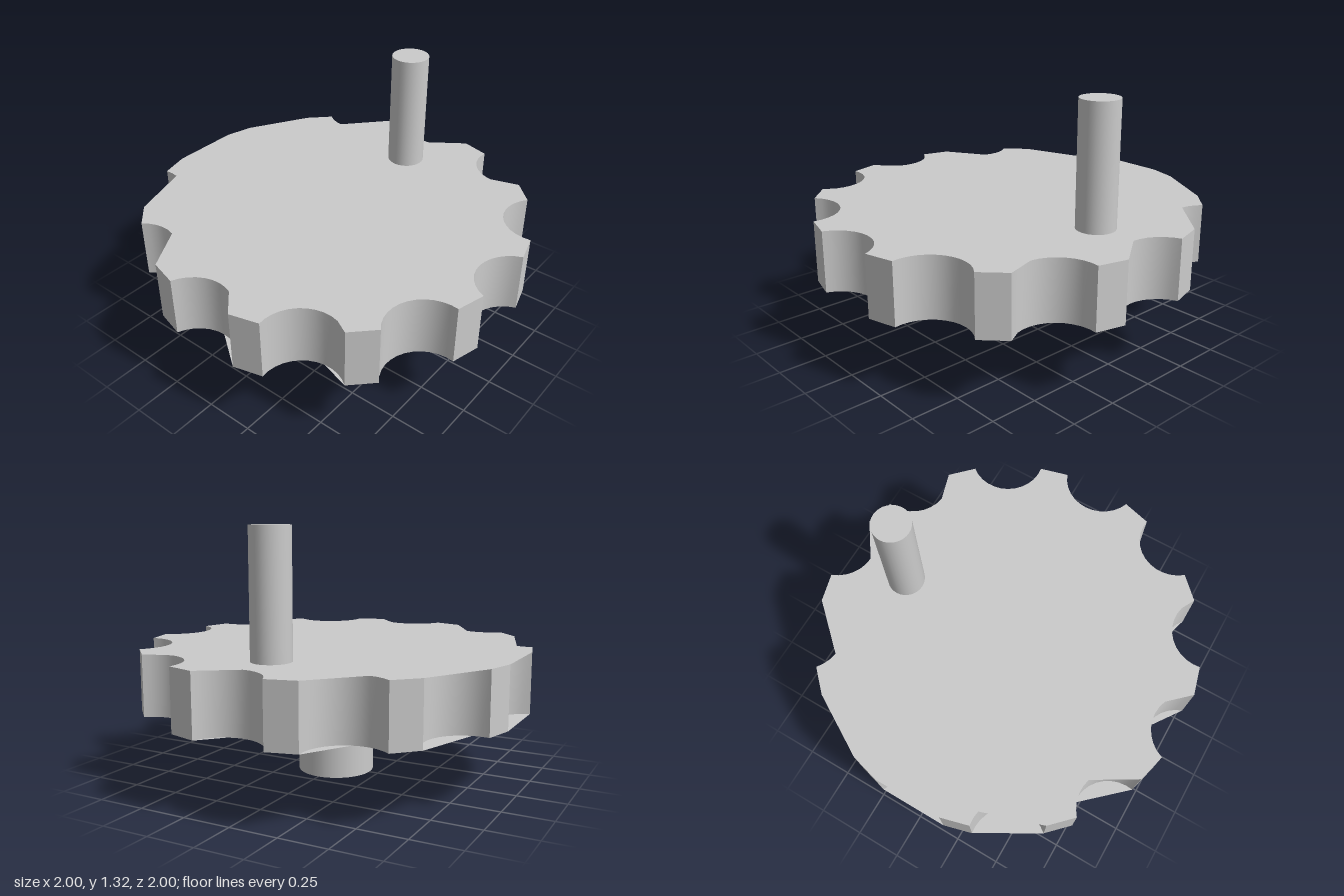
import * as THREE from 'three';
import { toCreasedNormals } from 'three/addons/utils/BufferGeometryUtils.js';

const NOTCHES = 12, STEPS = 12;
const NOTCH_DIST = 1.07, NOTCH_R = 0.2, HALF = THREE.MathUtils.degToRad(70);
const Y0 = 0.37, Y1 = 0.685;

const grey = new THREE.MeshStandardMaterial({ color: 0xcccccc });
const greyBoth = new THREE.MeshStandardMaterial({ color: 0xcccccc, side: THREE.DoubleSide });

// Point t (0..1) along the scallop k; angles run from the front (+z) towards +x
function scallopPoint(k, t) {
  const a = (k * Math.PI * 2) / NOTCHES;
  const b = a + Math.PI + HALF - 2 * HALF * t;
  return new THREE.Vector2(
    Math.sin(a) * NOTCH_DIST + Math.sin(b) * NOTCH_R,
    Math.cos(a) * NOTCH_DIST + Math.cos(b) * NOTCH_R);
}

// Closed (x, z) outline; keep(k, t) can drop points so an edge cuts straight over a scallop
function outline(keep = () => true) {
  const pts = [];
  for (let k = 0; k < NOTCHES; k++)
    for (let i = 0; i <= STEPS; i++)
      if (i === 0 || i === STEPS || keep(k, i / STEPS)) pts.push(scallopPoint(k, i / STEPS));
  return pts;
}

// Caps bridge the scallops more and more towards the back
function capGeometry(up, dropRight, dropLeft) {
  const pts = outline((k, t) => {
    const left = k <= 6;
    const fill = 0.5 + ((left ? k : 12 - k) - 3) * 30 / 140 - (left ? dropLeft : dropRight);
    return left ? t >= fill - 0.01 : t <= 1.01 - fill;
  });
  const dir = up ? -1 : 1;
  const shape = new THREE.Shape(pts.map(p => new THREE.Vector2(p.x, p.y * dir)));
  return new THREE.ShapeGeometry(shape).rotateX(dir * Math.PI / 2);
}

// Scalloped rim: an open cylinder whose columns move onto the outline
function rimGeometry() {
  const pts = outline();
  const geo = new THREE.CylinderGeometry(1, 1, Y1 - Y0, pts.length, 1, true);
  const pos = geo.attributes.position;
  for (let i = 0; i < pos.count; i++) {
    const p = pts[(i % (pts.length + 1)) % pts.length];
    pos.setX(i, p.x);
    pos.setZ(i, p.y);
  }
  geo.translate(0, (Y0 + Y1) / 2, 0);
  return toCreasedNormals(geo, 0.5);
}

function rod(radius, y0, y1, x) {
  return new THREE.CylinderGeometry(radius, radius, y1 - y0, 32).translate(x, (y0 + y1) / 2, 0);
}

export function createModel() {
  const model = new THREE.Group();
  model.name = 'scallopedCrankWheel';
  const add = (name, geometry, material = grey, parent = model) => {
    const mesh = new THREE.Mesh(geometry, material);
    mesh.name = name;
    parent.add(mesh);
  };

  // Wheel
  const wheel = new THREE.Group();
  wheel.name = 'wheel';
  model.add(wheel);
  add('rim', rimGeometry(), greyBoth, wheel);
  add('topFace', capGeometry(true, 0.165, 0).translate(0, Y1, 0), greyBoth, wheel);
  add('bottomFace', capGeometry(false, 0, 0.165).translate(0, Y0, 0), greyBoth, wheel);

  // Hub below, off-centre crank handle above
  add('hub', rod(0.2, 0, Y0, 0));
  add('handle', rod(0.1, Y1, 1.315, 0.637));
  return model;
}
